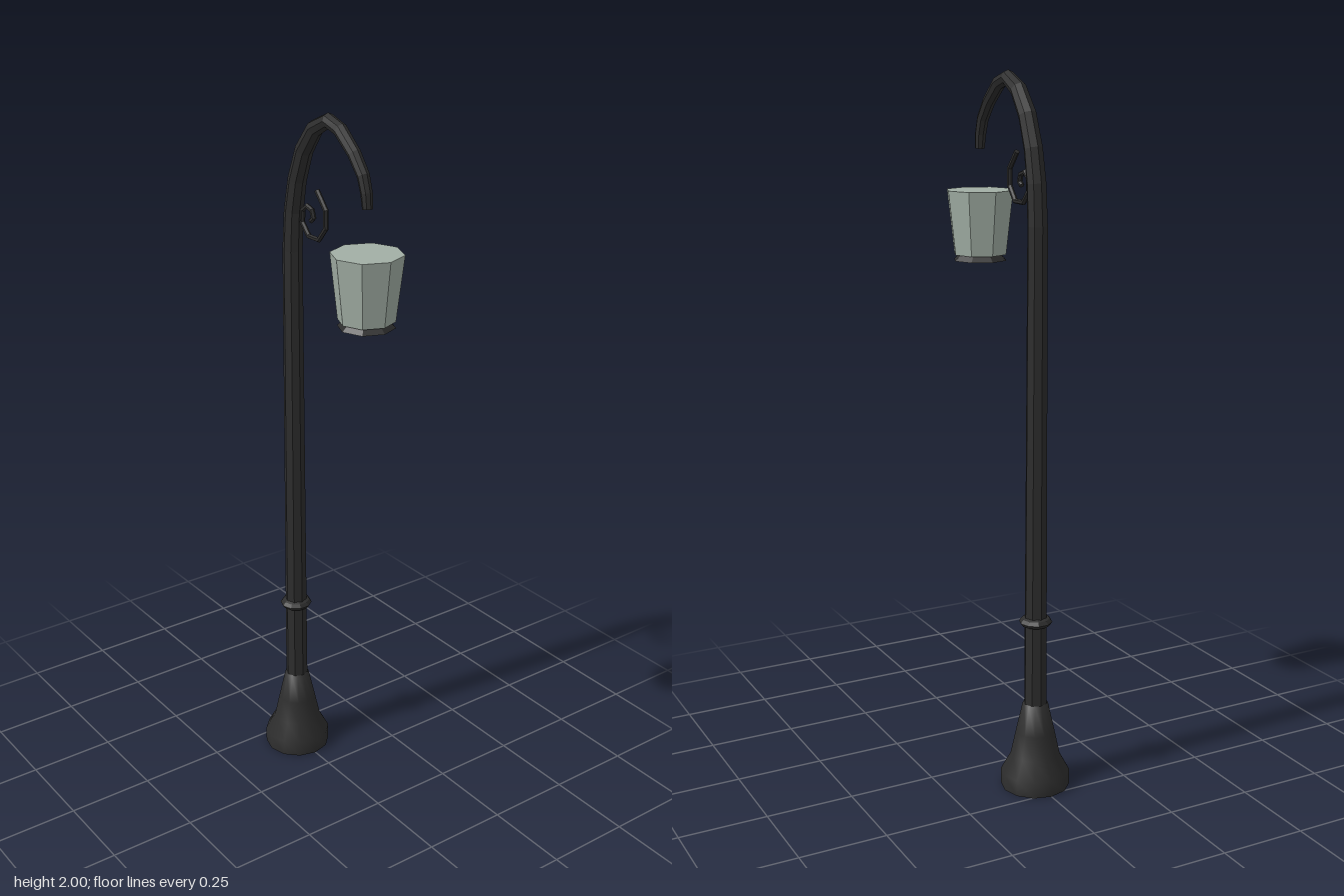
import * as THREE from 'three';

const POST_X = -0.168, LAMP_X = 0.168;

// Faceted copy of a geometry
function faceted(geo) {
  const g = geo.index ? geo.toNonIndexed() : geo;
  g.computeVertexNormals();
  return g;
}

// Sweep a polygon along [x, y, radius] stations in the xy plane, closed at both ends
function sweep(stations, sides) {
  const pos = [], idx = [], last = stations.length - 1;
  stations.forEach(([x, y, r], i) => {
    const a = stations[Math.max(i - 1, 0)], b = stations[Math.min(i + 1, last)];
    const t = new THREE.Vector2(b[0] - a[0], b[1] - a[1]).normalize();
    for (let j = 0; j < sides; j++) {
      const ang = (j / sides) * Math.PI * 2, c = Math.cos(ang) * r;
      pos.push(x - t.y * c, y + t.x * c, Math.sin(ang) * r);
    }
  });
  for (let i = 0; i < last; i++) {
    for (let j = 0; j < sides; j++) {
      const k = (j + 1) % sides, lo = i * sides, hi = lo + sides;
      idx.push(lo + j, lo + k, hi + j, lo + k, hi + k, hi + j);
    }
  }
  for (let j = 1; j < sides - 1; j++) {
    idx.push(0, j + 1, j);
    idx.push(last * sides, last * sides + j, last * sides + j + 1);
  }
  const g = new THREE.BufferGeometry();
  g.setAttribute('position', new THREE.Float32BufferAttribute(pos, 3));
  g.setIndex(idx);
  return faceted(g);
}

export function createModel() {
  const model = new THREE.Group();
  model.name = 'streetLamp';
  const iron = new THREE.MeshStandardMaterial({ color: 0x2d2d2d });
  iron.name = 'dark iron';
  const glass = new THREE.MeshStandardMaterial({ color: 0xa2afa5 });
  glass.name = 'frosted glass';

  const add = (name, geo, mat, x = 0, y = 0) => {
    const mesh = new THREE.Mesh(geo, mat);
    mesh.name = name;
    mesh.position.set(x, y, 0);
    model.add(mesh);
  };
  const lathe = (profile, sides) =>
    new THREE.LatheGeometry(profile.map(([r, y]) => new THREE.Vector2(r, y)), sides);

  // Flared foot, with a flat underside
  add('base', lathe([[0.098, 0], [0.098, 0.045], [0.07, 0.095], [0.055, 0.165], [0.036, 0.25], [0, 0.252]], 12), iron, POST_X);
  const underside = new THREE.CircleGeometry(0.098, 12);
  underside.rotateX(Math.PI / 2);
  add('baseUnderside', underside, iron, POST_X);

  // Tapering post that bends over into the arm
  add('postAndArm', sweep([
    [POST_X, 0.23, 0.033], [POST_X, 1.0, 0.03], [POST_X, 1.6, 0.028],
    [-0.161, 1.71, 0.027], [-0.143, 1.8, 0.026], [-0.11, 1.885, 0.025],
    [-0.06, 1.95, 0.023], [0, 1.98, 0.02], [0.05, 1.965, 0.019],
    [0.11, 1.915, 0.018], [0.148, 1.867, 0.017], [0.162, 1.825, 0.016], [0.167, 1.785, 0.014],
  ], 8), iron);

  // Ring around the post
  add('collar', faceted(lathe([[0.03, 0.482], [0.04, 0.486], [0.047, 0.496], [0.04, 0.506], [0.03, 0.51]], 10)), iron, POST_X);

  // Curled ornament under the arm
  const curl = [
    [-0.052, 1.788], [-0.012, 1.742], [-0.012, 1.694], [-0.044, 1.656], [-0.09, 1.656],
    [-0.12, 1.688], [-0.118, 1.722], [-0.098, 1.737], [-0.075, 1.73], [-0.068, 1.71], [-0.08, 1.7],
  ];
  add('scroll', sweep(curl.map(([x, y]) => [x, y, 0.0075]), 6), iron);

  // Eight-sided lantern and its bottom plate
  add('lanternGlass', faceted(new THREE.CylinderGeometry(0.098, 0.077, 0.18, 8)), glass, LAMP_X, 1.58);
  add('lanternPlate', faceted(new THREE.CylinderGeometry(0.06, 0.078, 0.018, 8)), iron, LAMP_X, 1.482);

  return model;
}
